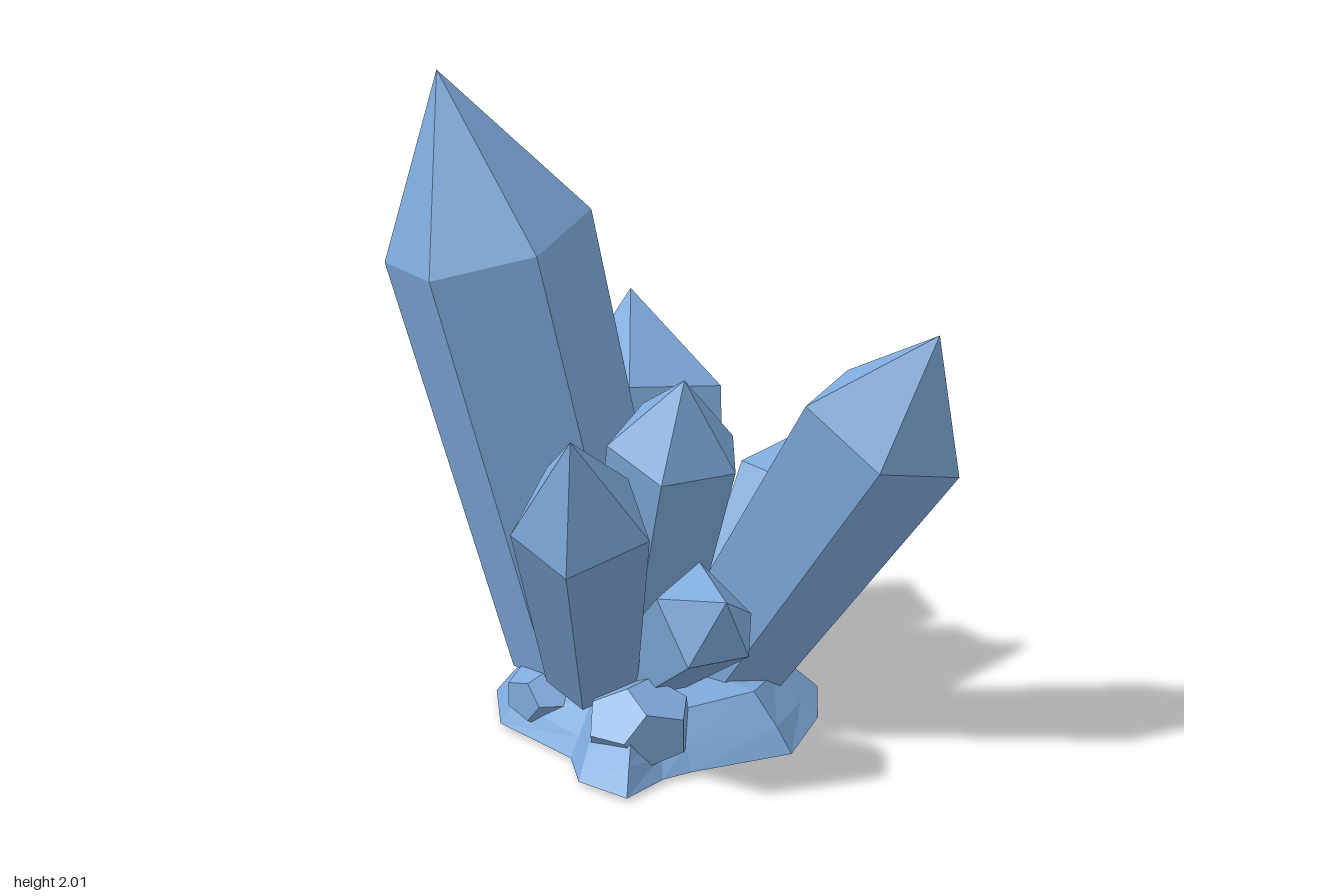
import * as THREE from 'three';

const crystalBlue = new THREE.MeshStandardMaterial({ color: 0x7eaadb, flatShading: true });
crystalBlue.name = 'crystalBlue';

// Skin rings of [x, y, z] points, closed by a bottom and a top point
function loft(rings, bottom, top) {
  const v = [];
  const n = rings[0].length;
  const tri = (a, b, c) => v.push(...a, ...b, ...c);
  const last = rings[rings.length - 1];
  for (let i = 0; i < n; i++) {
    const j = (i + 1) % n;
    tri(bottom, rings[0][j], rings[0][i]);
    for (let k = 0; k < rings.length - 1; k++) {
      const a = rings[k], b = rings[k + 1];
      tri(a[i], a[j], b[j]);
      tri(a[i], b[j], b[i]);
    }
    tri(last[i], last[j], top);
  }
  const g = new THREE.BufferGeometry();
  g.setAttribute('position', new THREE.Float32BufferAttribute(v, 3));
  g.computeVertexNormals();
  return g;
}

// Order an [x, z] outline anticlockwise as seen from above
function orient(outline) {
  const area = outline.reduce((s, p, i) => {
    const q = outline[(i + 1) % outline.length];
    return s + p[0] * q[1] - q[0] * p[1];
  }, 0);
  return area > 0 ? [...outline].reverse() : outline;
}

// Crystal: foot centre, shoulder height, shoulder outline in plan, tip and foot size.
// The shoulder lies in the plane square to the crystal's axis.
function crystalGeometry({ foot, height, plan, tip, taper }) {
  const pts = orient(plan);
  const cx = pts.reduce((s, p) => s + p[0], 0) / pts.length;
  const cz = pts.reduce((s, p) => s + p[1], 0) / pts.length;
  const ax = cx - foot[0], ay = height - foot[1], az = cz - foot[2];
  const offsets = pts.map(([x, z]) => {
    const dx = x - cx, dz = z - cz;
    return [dx, -(dx * ax + dz * az) / ay, dz];
  });
  const ring = (c, s) => offsets.map((o) => o.map((d, i) => c[i] + d * s));
  return loft([ring(foot, taper), ring([cx, height, cz], 1)], foot, tip);
}

const crystals = {
  tallCrystal: {
    foot: [-0.12, 0.2, -0.1], height: 1.48, taper: 0.8, tip: [-0.53, 2, -0.31],
    plan: [[-0.4, -0.59], [-0.67, -0.37], [-0.68, -0.1], [-0.41, 0.06], [-0.13, -0.1], [-0.12, -0.38]],
  },
  frontLeftCrystal: {
    foot: [0.175, 0.17, 0.15], height: 0.97, taper: 0.7, tip: [0.57, 1.29, 0.71],
    plan: [[0.72, 0.53], [0.63, 0.72], [0.33, 0.77], [0.21, 0.55], [0.46, 0.37]],
  },
  frontRightCrystal: {
    foot: [-0.27, 0.22, 0.14], height: 0.86, taper: 0.65, tip: [-0.63, 1.16, 0.62],
    plan: [[-0.72, 0.43], [-0.65, 0.63], [-0.39, 0.67], [-0.35, 0.48], [-0.53, 0.32]],
  },
  centreCrystal: {
    foot: [-0.04, 0.2, 0.02], height: 0.915, taper: 0.75, tip: [-0.07, 1.15, 0.33],
    plan: [[-0.25, 0.19], [-0.19, 0.4], [0.05, 0.42], [0.13, 0.27], [-0.05, 0.06]],
  },
  smallFrontCrystal: {
    foot: [-0.1, 0.25, 0.22], height: 0.485, taper: 0.75, tip: [-0.13, 0.58, 0.67],
    plan: [[-0.26, 0.49], [-0.09, 0.45], [0.02, 0.56], [-0.03, 0.63], [-0.23, 0.62]],
  },
  backCrystal: {
    foot: [0.2, 0.17, -0.24], height: 0.74, taper: 0.75, tip: [0.36, 1.02, -0.7],
    plan: [[0.28, -0.77], [0.54, -0.6], [0.47, -0.37], [0.16, -0.37], [0.05, -0.6]],
  },
  sideCrystal: {
    foot: [0.26, 0.15, 0], height: 0.6, taper: 0.75, tip: [0.61, 0.77, -0.04],
    plan: [[0.67, -0.11], [0.64, 0.08], [0.42, 0.11], [0.35, -0.05], [0.51, -0.24]],
  },
};

export function createModel() {
  const model = new THREE.Group();
  model.name = 'crystalCluster';
  const add = (name, geometry) => {
    const mesh = new THREE.Mesh(geometry, crystalBlue);
    mesh.name = name;
    model.add(mesh);
    return mesh;
  };

  for (const [name, spec] of Object.entries(crystals)) add(name, crystalGeometry(spec));

  // Rock base: an uneven outline stepping inwards to a low mound
  const outline = orient([
    [0.53, 0.08], [0.51, -0.29], [0.37, -0.48], [-0.08, -0.42], [-0.29, -0.37], [-0.42, -0.13],
    [-0.39, 0.22], [-0.47, 0.4], [-0.42, 0.59], [-0.25, 0.51], [-0.15, 0.5], [0.18, 0.52], [0.4, 0.3],
  ]);
  const level = (scale, y, bump) =>
    outline.map(([x, z], i) => [x * scale, y + (i % 3) * bump, z * scale]);
  add('rockBase', loft(
    [level(1, 0, 0), level(0.9, 0.05, 0.01), level(0.74, 0.13, 0.015)],
    [0, 0, 0], [0, 0.2, 0],
  ));

  // Rubble: squashed angular stones set into the base
  const stones = [
    [-0.24, 0.12, 0.36, 0.17, 0.14], [0.41, 0.1, -0.06, 0.11, 0.1],
    [0.35, 0.09, -0.36, 0.12, 0.09], [-0.3, 0.1, -0.05, 0.13, 0.1],
  ];
  stones.forEach(([x, y, z, r, h], i) => {
    const g = new THREE.DodecahedronGeometry(1, 0);
    g.rotateY(i * 1.3 + 0.4);
    g.scale(r, h, r);
    add('rubbleStone', g).position.set(x, y, z);
  });

  return model;
}
